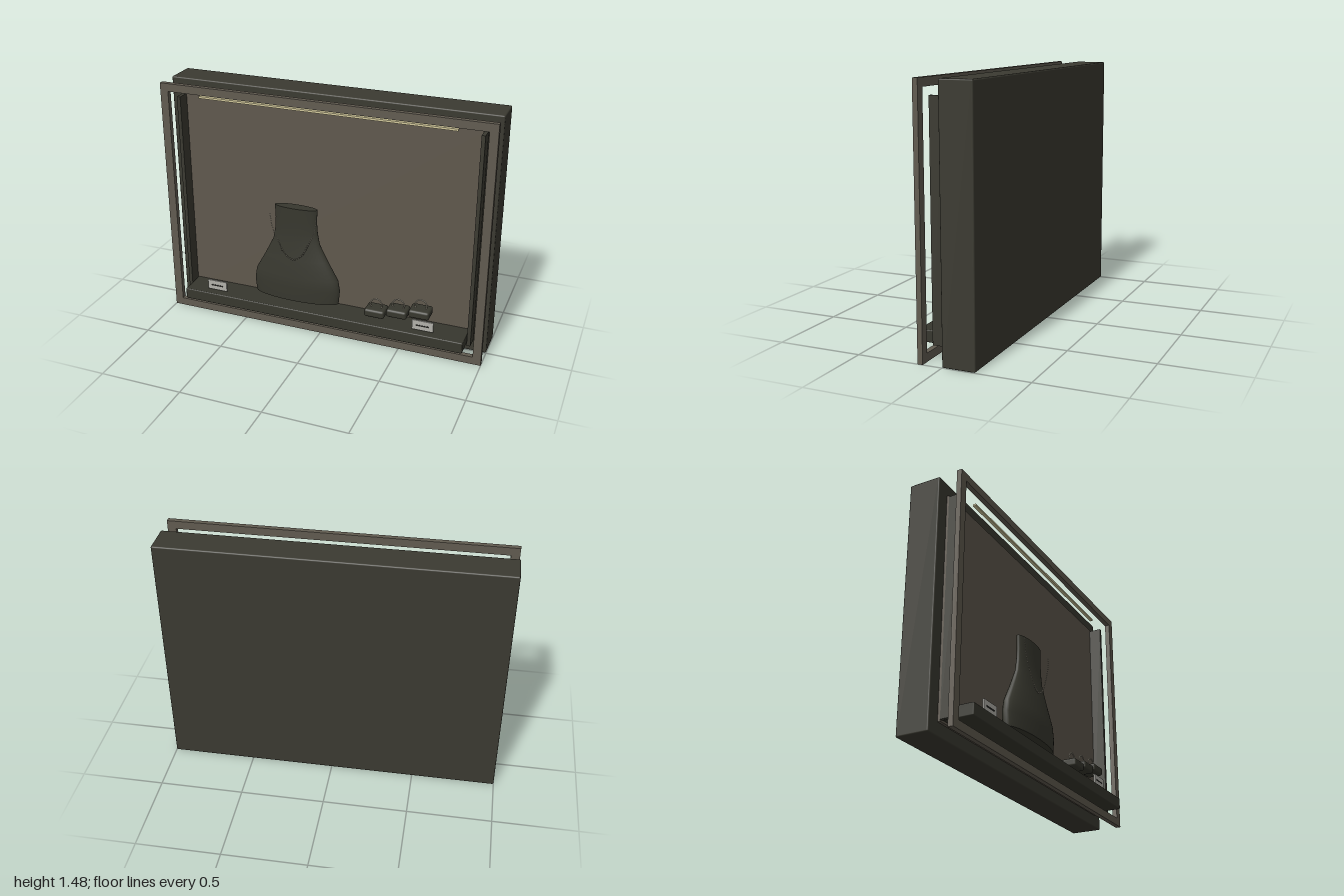
import * as THREE from 'three';
import { RoundedBoxGeometry } from 'three/addons/geometries/RoundedBoxGeometry.js';

const flat = (name, color) => {
  const m = new THREE.MeshStandardMaterial({ color });
  m.name = name;
  return m;
};

export function createModel() {
  const model = new THREE.Group();
  model.name = 'jewelleryDisplayCase';
  const dark = flat('dark casing', 0x3b3a31);
  const velvet = flat('black velvet', 0x37372e);
  const taupe = flat('taupe backing', 0x5f584d);
  const bronze = flat('bronze frame', 0x615b50);
  const cream = flat('warm light', 0xd2c99c);
  const silver = flat('silver', 0xb4ad9b);
  const card = flat('card', 0xb2b1aa);
  const ink = flat('ink', 0x2b2b27);

  const add = (name, geometry, material, parent = model) => {
    const mesh = new THREE.Mesh(geometry, material);
    mesh.name = name;
    parent.add(mesh);
    return mesh;
  };
  // Box given by its limits on each axis, optionally with rounded edges
  const block = (name, [x0, x1], [y0, y1], [z0, z1], material, radius = 0, parent = model) => {
    const size = [x1 - x0, y1 - y0, z1 - z0];
    const geometry = radius ? new RoundedBoxGeometry(...size, 2, radius) : new THREE.BoxGeometry(...size);
    geometry.translate((x0 + x1) / 2, (y0 + y1) / 2, (z0 + z1) / 2);
    return add(name, geometry, material, parent);
  };

  // Casing, backing, shelf and light strip
  block('casing', [-1, 1], [0, 1.48], [-0.19, 0], dark, 0.008);
  block('backPanel', [-0.92, 0.92], [0.075, 1.4], [0, 0.015], taupe);
  block('shelf', [-0.895, 0.895], [0.085, 0.155], [0.015, 0.19], velvet, 0.006);
  block('lightStrip', [-0.775, 0.775], [1.397, 1.409], [0.078, 0.096], cream);

  // Side walls and front frame
  const frame = new THREE.Group();
  frame.name = 'frontFrame';
  model.add(frame);
  for (const s of [-1, 1]) {
    const span = (a, b) => (s > 0 ? [a, b] : [-b, -a]);
    block('sideWall', span(0.9, 0.922), [0.085, 1.39], [0.015, 0.093], dark);
    block('framePost', span(0.95, 1), [0, 1.48], [0.112, 0.142], bronze, 0, frame);
  }
  for (const y of [0, 1.432])
    block('frameRail', [-0.95, 0.95], [y, y + 0.048], [0.112, 0.142], bronze, 0, frame);

  // Flattened necklace bust
  const profile = [[0, 0.205], [0.27, 0.205], [0.278, 0.29], [0.266, 0.36], [0.205, 0.47],
    [0.15, 0.58], [0.137, 0.65], [0.132, 0.72], [0.135, 0.805], [0, 0.805]];
  // Caps get their own rings so that the rims stay sharp
  const parts = [profile.slice(0, 2), profile.slice(1, 9), profile.slice(8)];
  const bust = new THREE.Group();
  bust.name = 'necklaceBust';
  bust.position.set(-0.165, 0, 0.102);
  bust.scale.z = 0.25;
  model.add(bust);
  for (const points of parts)
    add('bustSurface', new THREE.LatheGeometry(points.map(p => new THREE.Vector2(...p)), 40), velvet, bust);

  // Beaded necklace with a small pendant bead at its lowest point
  const necklace = new THREE.Group();
  necklace.name = 'necklace';
  model.add(necklace);
  const path = new THREE.CatmullRomCurve3([
    [-0.145, 0.76, 0.154], [-0.136, 0.69, 0.155], [-0.1, 0.6, 0.158], [-0.05, 0.512, 0.163],
    [0, 0.485, 0.165],
    [0.05, 0.512, 0.163], [0.1, 0.6, 0.158], [0.136, 0.69, 0.155], [0.145, 0.76, 0.154],
  ].map(([x, y, z]) => new THREE.Vector3(x - 0.165, y, z)));
  const bead = new THREE.SphereGeometry(0.0042, 8, 6);
  path.getSpacedPoints(44).forEach(p => add('bead', bead, silver, necklace).position.copy(p));

  // Stepped ring cushions, each with a standing ring and stone
  [0, 1, 2].forEach(i => {
    const x = 0.35 + i * 0.136;
    const y = 0.195 + i * 0.025;
    block('ringCushion', [x - 0.062, x + 0.062], [y, y + 0.05], [0.068, 0.17], velvet, 0.014);
    add('ring', new THREE.TorusGeometry(0.036, 0.004, 8, 28), silver).position.set(x, y + 0.067, 0.119);
    add('ringStone', new THREE.OctahedronGeometry(0.008), silver).position.set(x, y + 0.104, 0.119);
  });

  // Price cards with a printed line
  for (const x of [-0.685, 0.648]) {
    block('priceCard', [x - 0.064, x + 0.064], [0.17, 0.232], [0.15, 0.16], card);
    block('priceLine', [x - 0.04, x + 0.04], [0.196, 0.204], [0.16, 0.162], ink);
  }
  return model;
}
